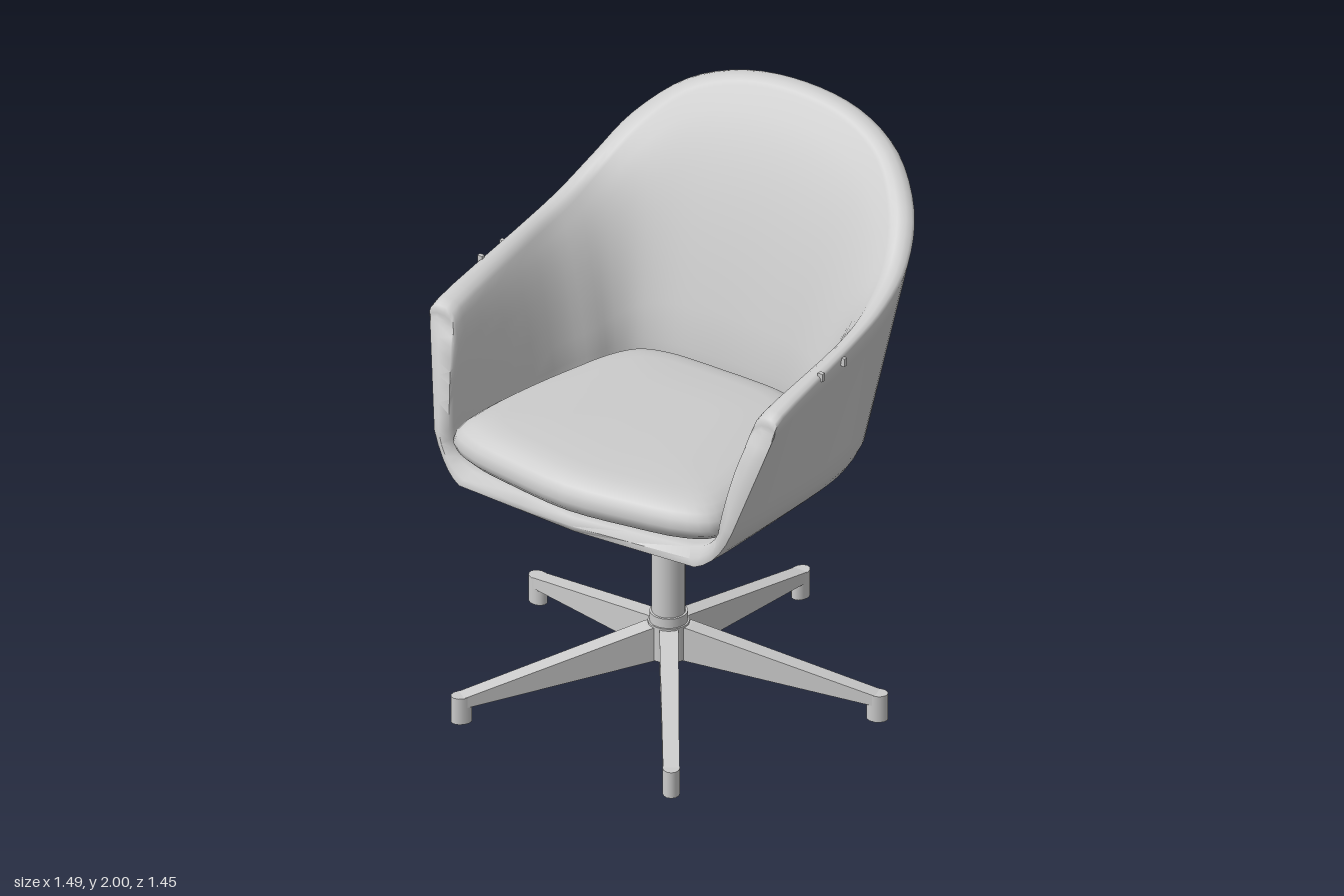
import * as THREE from 'three';
import { mergeVertices, toCreasedNormals } from 'three/addons/utils/BufferGeometryUtils.js';

const grey = new THREE.MeshStandardMaterial({ color: 0xcccccc, side: THREE.DoubleSide });
const V = (p) => new THREE.Vector3(...p);
const BASE_Z = 0.087;

function addMesh(parent, name, geometry, x = 0, y = 0, z = 0) {
  const mesh = new THREE.Mesh(geometry, grey);
  mesh.name = name;
  mesh.position.set(x, y, z);
  parent.add(mesh);
  return mesh;
}

function buildGeometry(points, index, crease) {
  let geo = new THREE.BufferGeometry();
  geo.setAttribute('position', new THREE.Float32BufferAttribute(points.flatMap((p) => [p.x, p.y, p.z]), 3));
  geo.setIndex(index);
  geo = mergeVertices(geo, 1e-4);
  return toCreasedNormals(geo, crease);
}

// Curve given from the left arm to the back centre, mirrored to the right arm
function mirroredCurve(half) {
  const right = half.slice(0, -1).reverse().map(([x, y, z]) => [-x, y, z]);
  return new THREE.CatmullRomCurve3([...half, ...right].map(V), false, 'catmullrom', 0.5);
}

// Guide curves of the shell
const guides = {
  rimOut: [[.718, 1.38, .48], [.722, 1.435, .43], [.705, 1.51, 0], [.69, 1.56, -.22], [.66, 1.64, -.39],
    [.588, 1.765, -.53], [.44, 1.89, -.645], [.24, 1.958, -.71], [0, 1.98, -.728]],
  rimIn: [[.63, 1.37, .475], [.63, 1.425, .42], [.635, 1.49, 0], [.615, 1.545, -.2], [.585, 1.63, -.345],
    [.52, 1.75, -.47], [.40, 1.875, -.575], [.22, 1.945, -.635], [0, 1.965, -.652]],
  wallOut: [[.622, 1.03, .59], [.622, 1.01, .46], [.622, .99, .08], [.61, .99, -.12], [.575, .99, -.25],
    [.50, .985, -.36], [.37, .98, -.43], [.20, .98, -.46], [0, .98, -.465]],
  bottom: [[.49, .872, .63], [.49, .866, .48], [.49, .858, .08], [.48, .85, -.1], [.45, .85, -.2],
    [.39, .85, -.27], [.28, .845, -.335], [.15, .845, -.36], [0, .845, -.365]],
  wallIn: [[.565, 1.04, .585], [.555, 1.05, .45], [.50, 1.06, .06], [.44, 1.07, -.1], [.41, 1.08, -.18],
    [.36, 1.09, -.24], [.27, 1.09, -.275], [.14, 1.09, -.285], [0, 1.09, -.29]],
  spine: [[0, .86, .645], [0, .85, .48], [0, .832, .08], [0, .827, -.1], [0, .827, -.18],
    [0, .827, -.18], [0, .827, -.18], [0, .827, -.18], [0, .827, -.18]],
};

const bezier = (a, b, c, n) => new THREE.QuadraticBezierCurve3(a, b, c).getPoints(n);

// Cross-section in two halves: inner floor to rim, and underside to rim
function shellSection(curves, t) {
  const p = {};
  for (const key in curves) p[key] = curves[key].getPoint(t);
  const { rimOut, rimIn, wallOut, bottom, wallIn, spine } = p;

  const floorMid = spine.clone().setY(.912);
  const floorEdge = wallIn.clone().lerp(floorMid, .2).setY(.925);
  // Padded wall: steep below, rolling outwards towards the rim
  const wallMid = wallIn.clone().lerp(rimIn, .42);
  wallMid.y = THREE.MathUtils.lerp(wallIn.y, rimIn.y, .7);
  const roll = (k, lift) => rimIn.clone().lerp(rimOut, k).add(new THREE.Vector3(0, lift, 0));
  const inner = [
    floorMid, floorMid.clone().lerp(floorEdge, .5),
    ...bezier(floorEdge, wallIn.clone().setY(.95), wallIn, 5),
    ...bezier(wallIn, wallMid, rimIn, 8).slice(1),
    roll(.12, .011), roll(.35, .02),
  ];
  const outer = [
    spine, spine.clone().lerp(bottom, .5),
    ...bezier(bottom, bottom.clone().lerp(wallOut, .62).setY(bottom.y + .02), wallOut, 5),
    ...bezier(wallOut, wallOut.clone().lerp(rimOut, .5), rimOut, 8).slice(1),
    roll(.9, .012), roll(.68, .02),
  ];
  return { inner, outer };
}

function shellGeometry() {
  const curves = {};
  for (const key in guides) curves[key] = mirroredCurve(guides[key]);
  const steps = 64, points = [], index = [];
  const quad = (a, b, c, d) => index.push(a, b, c, b, d, c);
  let count = 0;
  for (let i = 0; i <= steps; i++) {
    const { inner, outer } = shellSection(curves, i / steps);
    const row = [...inner, ...outer.reverse()];
    count = row.length;
    points.push(...row);
  }
  for (let i = 0; i < steps; i++) {
    for (let j = 0; j < count - 1; j++) {
      const a = i * count + j;
      quad(a, a + 1, a + count, a + count + 1);
    }
  }
  // Rounded front edges of the two arms and the lip
  for (const i of [0, steps]) {
    const start = i * count, mid = points.length, half = count / 2;
    for (let k = 0; k < half; k++) {
      const m = points[start + k].clone().lerp(points[start + count - 1 - k], .5);
      m.z += .015 * Math.min(1, (half - 1 - k) / 3);
      points.push(m);
    }
    for (let k = 0; k < half - 1; k++) {
      const a = start + k, b = mid + k, c = start + count - 1 - k;
      if (i === 0) {
        quad(a, b, a + 1, b + 1);
        quad(b, c, b + 1, c - 1);
      } else {
        quad(b, a, b + 1, a + 1);
        quad(c, b, c - 1, b + 1);
      }
    }
  }
  return buildGeometry(points, index, 1.1);
}

// Cushion lofted from a scaled outline
function cushionGeometry() {
  const half = [[0, .715], [.25, .685], [.46, .64], [.55, .58], [.558, .46], [.525, .24], [.475, .03],
    [.42, -.15], [.36, -.24], [.26, -.28], [.12, -.29], [0, -.29]];
  const outline = [...half, ...half.slice(1, -1).reverse().map(([x, z]) => [-x, z])];
  const curve = new THREE.CatmullRomCurve3(outline.map(([x, z]) => V([x, 0, z])), true);
  const layers = [[0, .915], [.7, .92], [.85, .935], [.94, .96], [.985, .985], [1, 1.01], [.985, 1.04],
    [.955, 1.062], [.91, 1.08], [.84, 1.093], [.75, 1.1], [.4, 1.104], [0, 1.105]];
  const n = 64, points = [], index = [], cz = .2;
  for (const [s, y] of layers) {
    for (let i = 0; i < n; i++) {
      const p = curve.getPoint(i / n);
      points.push(new THREE.Vector3(p.x * s, y, cz + (p.z - cz) * s));
    }
  }
  for (let j = 0; j < layers.length - 1; j++) {
    for (let i = 0; i < n; i++) {
      const a = j * n + i, b = j * n + (i + 1) % n;
      index.push(a, b, a + n, b, b + n, a + n);
    }
  }
  return buildGeometry(points, index, .9);
}

// Tapered leg bar pointing along +x
function legGeometry(length) {
  const profile = [[.03, .13], [.03, .26], [.08, .253], [length, .1], [length, .06]];
  const shape = new THREE.Shape(profile.map(([x, y]) => new THREE.Vector2(x, y)));
  const geo = new THREE.ExtrudeGeometry(shape, { depth: 1, bevelEnabled: false });
  const pos = geo.attributes.position;
  for (let i = 0; i < pos.count; i++) {
    const width = THREE.MathUtils.lerp(.066, .056, pos.getX(i) / length);
    pos.setZ(i, (pos.getZ(i) - .5) * width);
  }
  geo.computeVertexNormals();
  return geo;
}

export function createModel() {
  const group = new THREE.Group();
  group.name = 'swivelArmchair';

  addMesh(group, 'seatShell', shellGeometry());
  addMesh(group, 'seatCushion', cushionGeometry());

  // Tiny pegs on the outside of the arms
  for (const side of [-1, 1]) {
    for (const z of [.06, .19]) {
      addMesh(group, 'armPeg', new THREE.BoxGeometry(.02, .03, .015), side * .71, 1.485, z);
    }
  }

  // Column
  const base = new THREE.Group();
  base.name = 'base';
  base.position.z = BASE_Z;
  group.add(base);
  const tube = (name, r, y0, y1) =>
    addMesh(base, name, new THREE.CylinderGeometry(r, r, y1 - y0, 20), 0, (y0 + y1) / 2, 0);
  tube('pistonRod', .035, .7, .85);
  tube('column', .058, .26, .705);
  tube('collar', .066, .26, .298);
  tube('hub', .072, .13, .262);

  // Five legs with rounded feet, one straight back
  const footRadius = .038;
  for (let i = 0; i < 5; i++) {
    const reach = i === 0 ? .815 : .782;
    const leg = new THREE.Group();
    leg.name = 'leg';
    leg.rotation.y = Math.PI / 2 + (i * Math.PI * 2) / 5;
    base.add(leg);
    addMesh(leg, 'legBar', legGeometry(reach - footRadius));
    const foot = new THREE.CylinderGeometry(footRadius, footRadius, .1, 12);
    addMesh(leg, 'foot', foot, reach - footRadius, .05, 0).scale.z = .8;
  }
  return group;
}
